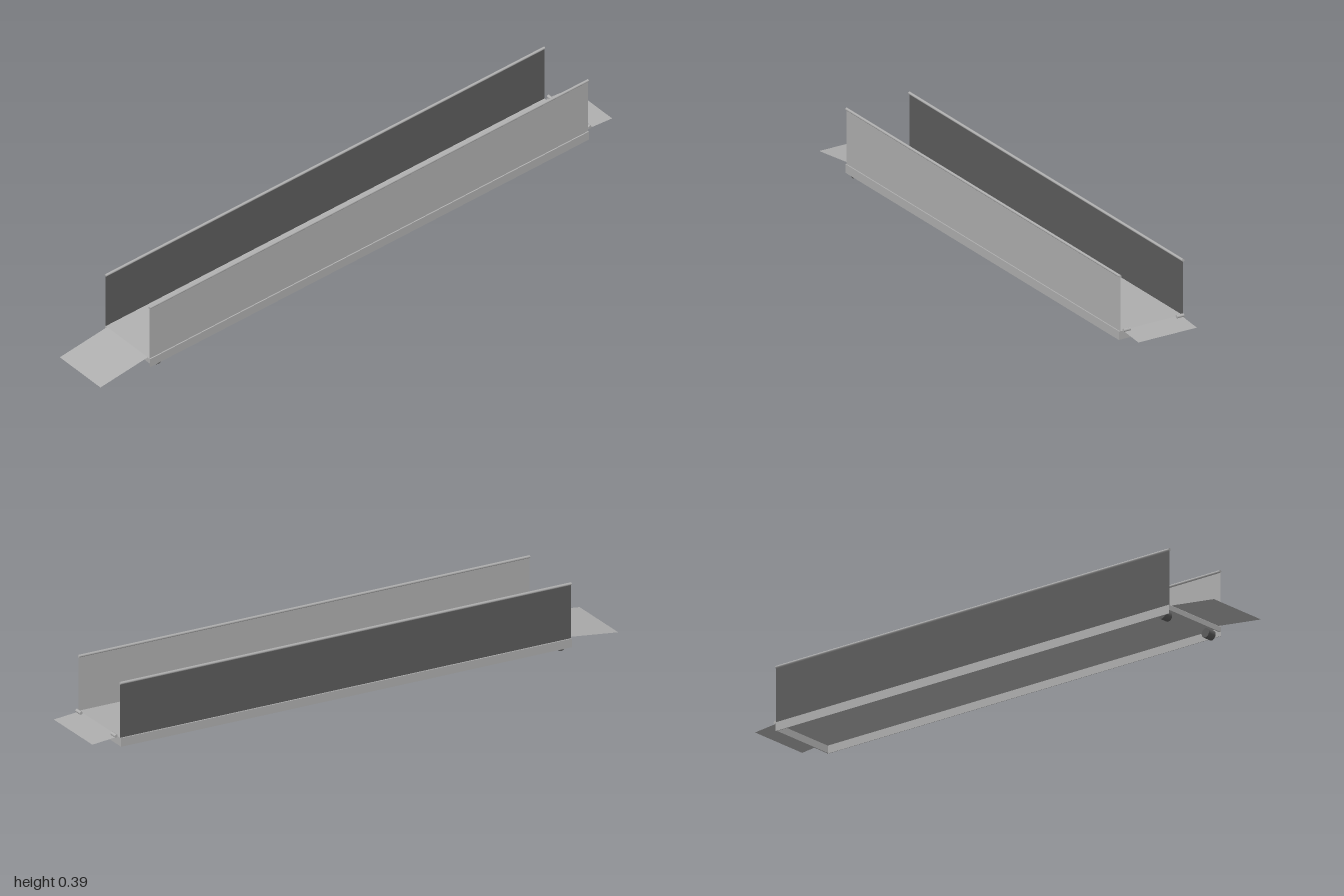
import * as THREE from 'three';

const FRONT = 0.815, BACK = -0.9;          // ends of the sloping deck
const FRONT_Y = 0.037, BACK_Y = 0.191;
const SLOPE = (BACK_Y - FRONT_Y) / (FRONT - BACK);
const deckY = z => FRONT_Y + (FRONT - z) * SLOPE;

export function createModel() {
  const group = new THREE.Group();
  const material = (name, color, side = THREE.FrontSide) => {
    const m = new THREE.MeshStandardMaterial({ color, side });
    m.name = name;
    return m;
  };
  const grey = material('lightGrey', 0xafafaf, THREE.DoubleSide);
  const dark = material('darkGrey', 0x5d5d5d, THREE.DoubleSide);

  const add = (name, geometry, mat = grey) => {
    const mesh = new THREE.Mesh(geometry, mat);
    mesh.name = name;
    group.add(mesh);
    return mesh;
  };

  // box sheared along the slope so that its ends stay vertical
  const slopedBox = (name, width, x, low, high, z0 = BACK, z1 = FRONT) => {
    const g = new THREE.BoxGeometry(width, high - low, z1 - z0);
    g.translate(x, (low + high) / 2, (z0 + z1) / 2);
    const p = g.attributes.position;
    for (let i = 0; i < p.count; i++) p.setY(i, p.getY(i) + deckY(p.getZ(i)));
    g.computeVertexNormals();
    return add(name, g);
  };

  // thin flat sheet through four corners
  const quad = (name, corners, mat = grey) => {
    const g = new THREE.BufferGeometry();
    g.setAttribute('position', new THREE.Float32BufferAttribute(corners.flat(), 3));
    g.setIndex([0, 1, 2, 0, 2, 3]);
    g.computeVertexNormals();
    return add(name, g, mat);
  };

  // cylinder lying across the model
  const crossRod = (name, radius, length, x, y, z, mat = grey) => {
    const g = new THREE.CylinderGeometry(radius, radius, length, 20);
    g.rotateZ(Math.PI / 2);
    add(name, g, mat).position.set(x, y, z);
  };

  // walkway plate, open underneath, with end plates
  slopedBox('deck', 0.234, 0, -0.004, 0);
  slopedBox('frontEndPlate', 0.231, 0, -0.017, -0.004, FRONT - 0.004, FRONT);
  slopedBox('backEndPlate', 0.231, 0, -0.029, -0.004, BACK, BACK + 0.004);

  for (const s of [1, -1]) {
    const side = s > 0 ? 'left' : 'right';
    slopedBox(side + 'Skirt', 0.0015, s * 0.11625, -0.03, -0.004);

    // side panel, reaching down inside the skirt, and round handrail
    const x = s * 0.113, h = 0.191, drop = 0.029;
    quad(side + 'Panel', [
      [x, deckY(FRONT) - drop, FRONT], [x, deckY(BACK) - drop, BACK],
      [x, deckY(BACK) + h, BACK], [x, deckY(FRONT) + h, FRONT],
    ], s > 0 ? grey : dark);
    const rail = new THREE.CylinderGeometry(0.0045, 0.0045, Math.hypot(FRONT - BACK, BACK_Y - FRONT_Y), 12);
    rail.rotateX(Math.PI / 2 + Math.atan(SLOPE));
    const mid = (FRONT + BACK) / 2;
    add(side + 'Handrail', rail).position.set(x, deckY(mid) + h, mid);

    // ground wheel under the low end, hook pin at the high end
    crossRod(side + 'Wheel', 0.016, 0.03, s * 0.097, 0.018, 0.78, dark);
    crossRod(side + 'HookPin', 0.0055, 0.025, s * 0.0955, 0.198, -0.911);
  }

  // boarding flaps
  quad('frontFlap', [[-0.105, 0, 1], [0.105, 0, 1], [0.105, 0.038, FRONT], [-0.105, 0.038, FRONT]]);
  quad('backFlap', [[-0.105, 0.193, BACK], [0.105, 0.193, BACK], [0.105, 0.193, -1], [-0.105, 0.193, -1]]);

  return group;
}
